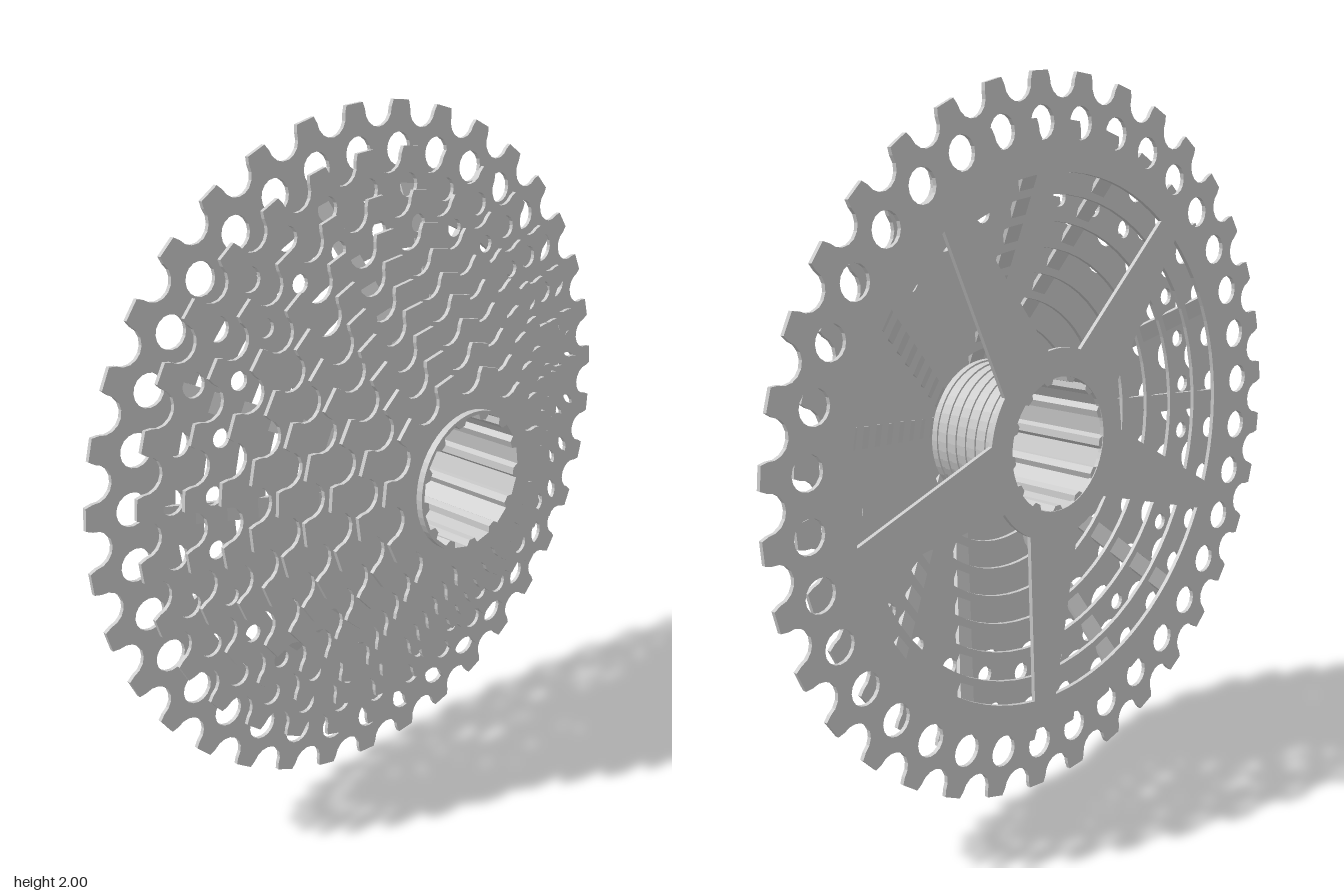
import * as THREE from 'three';

const TAU = Math.PI * 2;
const PLATE = 0.012; // sprocket thickness
const material = new THREE.MeshStandardMaterial({ color: 0xcccccc });
const polar = (r, a) => new THREE.Vector2(r * Math.cos(a), r * Math.sin(a));

function circlePath(r, n, cx = 0, cy = 0) {
  const pts = [];
  for (let i = 0; i < n; i++) pts.push(polar(r, (i / n) * TAU).add(new THREE.Vector2(cx, cy)));
  return new THREE.Path(pts);
}

// Toothed outline: round chain seats between narrow flat-topped teeth
function toothedShape(teeth, outer, phase) {
  const pitchR = outer - 0.02;
  const seat = 0.05;
  const step = TAU / teeth;
  const topHalf = step / 2 - (seat + 0.008) / outer;
  const pts = [];
  for (let i = 0; i < teeth; i++) {
    const tooth = phase + i * step;
    pts.push(polar(outer, tooth - topHalf), polar(outer, tooth + topHalf));
    const mid = tooth + step / 2;
    const centre = polar(pitchR, mid);
    for (let j = 0; j <= 8; j++) {
      pts.push(polar(seat, mid - Math.PI / 2 - (Math.PI * j) / 8).add(centre));
    }
  }
  return new THREE.Shape(pts);
}

function addRoundHoles(shape, count, ringR, r, phase) {
  for (let i = 0; i < count; i++) {
    const c = polar(ringR, phase + (i / count) * TAU);
    shape.holes.push(circlePath(r, 16, c.x, c.y));
  }
}

function plate(shape, name, z, depth = PLATE) {
  const geo = new THREE.ExtrudeGeometry(shape, { depth, bevelEnabled: false, curveSegments: 24 });
  geo.translate(0, 0, z - depth / 2);
  const mesh = new THREE.Mesh(geo, material);
  mesh.name = name;
  return mesh;
}

// Window between two neighbouring tapered arms of the rear spider
function armWindow(a0, a1) {
  const rIn = 0.27, rOut = 0.74;
  const edge = (r) => Math.asin((0.1 - 0.055 * (r - rIn) / (rOut - rIn)) / r);
  const pts = [];
  const arc = (r, from, to) => {
    for (let i = 0; i <= 16; i++) pts.push(polar(r, from + ((to - from) * i) / 16));
  };
  arc(rIn, a1 - edge(rIn), a0 + edge(rIn));
  arc(rOut, a0 + edge(rOut), a1 - edge(rOut));
  return new THREE.Path(pts);
}

export function createModel() {
  const model = new THREE.Group();
  model.name = 'sprocketCassette';
  const body = new THREE.Group();
  body.name = 'cassetteBody';
  body.position.y = 1;
  model.add(body);

  // Sprockets, smallest in front: [teeth, outer radius]
  const sprockets = [
    [11, 0.32], [13, 0.38], [15, 0.44], [17, 0.5], [19, 0.555],
    [21, 0.615], [24, 0.68], [28, 0.765], [32, 0.88], [36, 1],
  ];
  const zFront = 0.157, zStep = 0.0374;
  const zBack = zFront - 9 * zStep;
  const armStart = THREE.MathUtils.degToRad(58);

  sprockets.forEach(([teeth, outer], i) => {
    const z = zFront - i * zStep;
    const phase = Math.PI / 2 + Math.PI / teeth;
    const shape = toothedShape(teeth, outer, phase);
    if (i < 9) {
      // rings follow the cone of the slanted struts
      const coneR = 0.2 + ((0.12 - z) / 0.3) * 0.58;
      shape.holes.push(circlePath(Math.max(0.195, coneR - 0.025), 64));
      if (i === 8) addRoundHoles(shape, 32, 0.775, 0.034, phase);
      if (i === 7) addRoundHoles(shape, 28, 0.675, 0.026, phase);
      body.add(plate(shape, 'sprocket' + teeth, z));
    } else {
      // largest sprocket with its five-armed spider
      shape.holes.push(circlePath(0.19, 64));
      addRoundHoles(shape, 36, 0.87, 0.045, phase);
      for (let k = 0; k < 5; k++) {
        shape.holes.push(armWindow(armStart + (k * TAU) / 5, armStart + ((k + 1) * TAU) / 5));
      }
      body.add(plate(shape, 'largestSprocketWithSpider', z));
    }
  });

  // Hub sleeve with internal splines
  const hub = new THREE.Shape();
  hub.absarc(0, 0, 0.202, 0, TAU, false);
  const bore = [];
  const splines = 13;
  for (let i = 0; i < splines; i++) {
    const profile = [[0, 0.193], [0.55, 0.193], [0.65, 0.176], [0.9, 0.176]];
    for (const [t, r] of profile) bore.push(polar(r, ((i + t) / splines) * TAU));
  }
  hub.holes.push(new THREE.Path(bore));
  body.add(plate(hub, 'splinedHub', 0, 0.366));

  // Spacer collars between the sprockets
  for (let i = 0; i < 9; i++) {
    const collar = new THREE.Shape();
    collar.absarc(0, 0, 0.207, 0, TAU, false);
    collar.holes.push(circlePath(0.198, 48));
    body.add(plate(collar, 'spacerCollar', zFront - (i + 0.5) * zStep, 0.02));
  }

  // Slanted struts carrying the sprockets, two in each gap of the spider
  const rIn = 0.2, rOut = 0.775, zIn = 0.12;
  const length = Math.hypot(rOut - rIn, zBack - zIn);
  const strutGeo = new THREE.BoxGeometry(length, 0.055, 0.012);
  strutGeo.rotateY(Math.atan2(zIn - zBack, rOut - rIn));
  strutGeo.translate((rIn + rOut) / 2, 0, (zIn + zBack) / 2);
  for (let k = 0; k < 5; k++) {
    for (const side of [-1, 1]) {
      const strut = new THREE.Mesh(strutGeo, material);
      strut.name = 'slantedStrut';
      strut.rotation.z = armStart + ((k + 0.5) * TAU) / 5 + side * THREE.MathUtils.degToRad(12);
      body.add(strut);
    }
  }
  return model;
}
